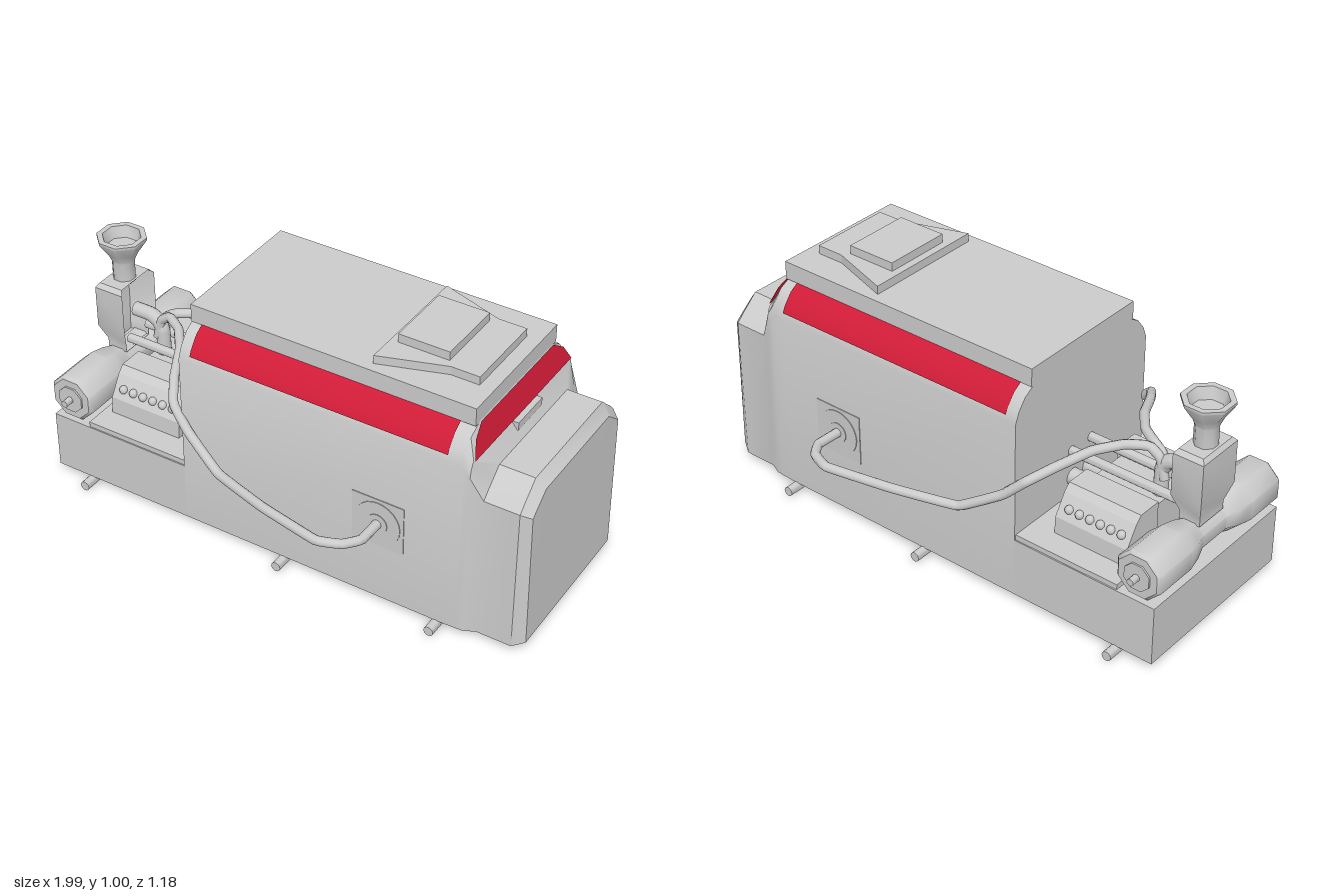
import * as THREE from 'three';
import { toCreasedNormals } from 'three/addons/utils/BufferGeometryUtils.js';

const grey = new THREE.MeshStandardMaterial({ color: 0xcccccc });
const greyDouble = new THREE.MeshStandardMaterial({ color: 0xcccccc, side: THREE.DoubleSide });
const red = new THREE.MeshStandardMaterial({ color: 0xd01c38, side: THREE.DoubleSide });

// Lofts mirrored half-sections [x, [[z, y], ...bottom to top]] along x, open underneath
function loft(sections) {
  const pos = [], idx = [];
  const n = sections[0][1].length * 2;
  for (const [x, half] of sections) {
    for (const [z, y, dx = 0] of half) pos.push(x + dx, y, z);
    for (const [z, y, dx = 0] of [...half].reverse()) pos.push(x + dx, y, -z);
  }
  for (let i = 0; i < sections.length - 1; i++) {
    for (let j = 0; j < n - 1; j++) {
      const a = i * n + j, d = a + n;
      idx.push(a, d, d + 1, a, d + 1, a + 1);
    }
  }
  const last = (sections.length - 1) * n;
  for (let j = 1; j < n - 1; j++) {
    idx.push(0, j, j + 1, last, last + j + 1, last + j);
  }
  const g = new THREE.BufferGeometry();
  g.setAttribute('position', new THREE.Float32BufferAttribute(pos, 3));
  g.setIndex(idx);
  return toCreasedNormals(g, 0.5);
}

export function createModel() {
  const root = new THREE.Group();
  const add = (name, geo, x = 0, y = 0, z = 0, mat = grey) => {
    const m = new THREE.Mesh(geo, mat);
    m.name = name;
    m.position.set(x, y, z);
    root.add(m);
    return m;
  };
  // Box given by its limits
  const box = (name, x0, x1, y0, y1, z0, z1) =>
    add(name, new THREE.BoxGeometry(x1 - x0, y1 - y0, z1 - z0), (x0 + x1) / 2, (y0 + y1) / 2, (z0 + z1) / 2);
  const rod = (name, r, len, axis, x, y, z, sides = 12) => {
    const g = new THREE.CylinderGeometry(r, r, len, sides);
    if (axis === 'z') g.rotateX(Math.PI / 2);
    if (axis === 'x') g.rotateZ(Math.PI / 2);
    return add(name, toCreasedNormals(g, 0.7), x, y, z);
  };
  const vectors = points => points.map(p => new THREE.Vector2(...p));
  const prism = (points, depth, hole) => {
    const s = new THREE.Shape(vectors(points));
    if (hole) s.holes.push(new THREE.Path(vectors(hole)));
    return new THREE.ExtrudeGeometry(s, { depth, bevelEnabled: false });
  };
  const tube = (name, pts, r, seg) => {
    const curve = new THREE.CatmullRomCurve3(pts.map(p => new THREE.Vector3(...p)), false, 'catmullrom', 0.12);
    return add(name, new THREE.TubeGeometry(curve, seg, r, 10), 0, 0, 0, greyDouble);
  };

  // Engine deck, cab and nose in one shell, open underneath
  const deck = [[0.37, 0.035], [0.37, 0.22], [0.37, 0.25], [0.37, 0.272], [0.2, 0.272]];
  const cab = [[0.37, 0.035], [0.37, 0.75], [0.352, 0.795], [0.318, 0.838], [0.27, 0.867]];
  const nose = [[0.345, 0.035], [0.345, 0.62], [0.315, 0.65], [0.28, 0.68], [0.246, 0.71]];
  add('bodyShell', loft([
    [-0.983, deck],
    [-0.39, deck],
    [-0.39, cab],
    [0.69, cab],
    [0.745, [[0.368, 0.035], [0.367, 0.745], [0.35, 0.79], [0.315, 0.835], [0.255, 0.867]]],
    [0.775, [[0.366, 0.035], [0.365, 0.71], [0.36, 0.735], [0.354, 0.755], [0.345, 0.77]]],
    [0.82, nose],
    [0.955, nose],
    [0.99, [[0.318, 0.052, 0.008], [0.318, 0.6], [0.29, 0.624], [0.26, 0.648], [0.232, 0.67]]],
  ]), 0, 0, 0, greyDouble);

  // Underside: rim and recessed floor
  const rim = prism(
    [[-0.978, -0.368], [0.775, -0.362], [0.82, -0.342], [0.95, -0.342], [0.985, -0.315],
      [0.985, 0.315], [0.95, 0.342], [0.82, 0.342], [0.775, 0.362], [-0.978, 0.368]],
    0.1, [[-0.95, -0.33], [-0.95, 0.33], [0.93, 0.33], [0.93, -0.33]]);
  rim.rotateX(-Math.PI / 2);
  add('underRim', rim, 0, 0.04, 0);
  box('floor', -0.97, 0.95, 0.135, 0.15, -0.34, 0.34);
  box('enginePlate', -0.825, -0.385, 0.27, 0.293, -0.365, 0.365);

  // Roof and stepped hatch
  box('roof', -0.39, 0.745, 0.862, 0.933, -0.285, 0.285);
  const hatch = prism([[0.33, -0.248], [0.58, -0.165], [0.69, -0.165], [0.69, 0.165], [0.58, 0.165], [0.33, 0.248]], 0.035);
  hatch.rotateX(-Math.PI / 2);
  add('hatch', hatch, 0, 0.931, 0);
  box('hatchTop', 0.36, 0.56, 0.965, 1.0, -0.137, 0.137);

  // Red front window, leaning back
  const front = new THREE.ShapeGeometry(new THREE.Shape(vectors(
    [[-0.345, 0.77], [0.345, 0.77], [0.312, 0.83], [0.255, 0.867], [-0.255, 0.867], [-0.312, 0.83]])));
  front.rotateY(Math.PI / 2);
  const fp = front.attributes.position;
  for (let i = 0; i < fp.count; i++) fp.setX(i, 0.781 - 0.32 * (fp.getY(i) - 0.77));
  front.computeVertexNormals();
  add('frontWindow', front, 0, 0, 0, red);

  // Red side windows following the shoulder curve
  for (const s of [1, -1]) {
    const pts = [[0.366, 0.774], [0.356, 0.797], [0.321, 0.842], [0.286, 0.864]];
    const g = new THREE.PlaneGeometry(1.035, 1, 1, 3);
    const p = g.attributes.position;
    for (let i = 0; i < p.count; i++) {
      const [z, y] = pts[3 - Math.floor(i / 2)];
      p.setXYZ(i, p.getX(i) * s + 0.1725, y, z * s);
    }
    g.computeVertexNormals();
    add('sideWindow', g, 0, 0, 0, red);
  }
  box('frontHandle', 0.76, 0.803, 0.738, 0.77, -0.085, 0.085);

  // Cross rods under the chassis
  for (const x of [-0.83, 0.035, 0.67]) rod('crossRod', 0.019, 0.836, 'z', x, 0.019, 0);

  // Side ports and the long pipes leading to the engine
  for (const s of [1, -1]) {
    box('portPlate', 0.328, 0.535, 0.274, 0.475, s * 0.368 - 0.005, s * 0.368 + 0.005);
    rod('portDisc', 0.09, 0.01, 'z', 0.432, 0.372, s * 0.371, 24);
    rod('portHub', 0.04, 0.01, 'z', 0.432, 0.372, s * 0.374, 16);
    tube('sidePipe', [
      [0.432, 0.372, 0.365], [0.432, 0.375, 0.48], [0.39, 0.38, 0.54], [0.305, 0.382, 0.572],
      [0.05, 0.375, 0.515], [-0.19, 0.365, 0.435], [-0.35, 0.46, 0.39], [-0.43, 0.535, 0.362],
      [-0.49, 0.575, 0.27], [-0.55, 0.603, 0.15], [-0.62, 0.612, 0.06], [-0.69, 0.612, 0.015],
      [-0.735, 0.58, 0.01], [-0.755, 0.5, 0.01],
    ].map(([x, y, z]) => [x, y, z * s]), 0.018, 90);
  }

  // Engine block with two sloping cylinder banks
  box('engineBlock', -0.77, -0.5, 0.28, 0.43, -0.12, 0.12);
  for (const s of [1, -1]) {
    const bank = prism([[0.09, 0.28], [0.27, 0.28], [0.265, 0.36], [0.215, 0.44], [0.19, 0.465], [0.09, 0.465]], 0.305);
    bank.rotateY(-Math.PI / 2);
    if (s < 0) bank.rotateY(Math.PI).translate(-0.305, 0, 0);
    add('cylinderBank', bank, -0.485, 0, 0);
    for (let i = 0; i < 6; i++) {
      add('exhaustStub', new THREE.SphereGeometry(0.017, 10, 8), -0.75 + i * 0.0445, 0.395, s * 0.243);
    }
    rod('topRail', 0.018, 0.47, 'x', -0.62, 0.483, s * 0.056);
    rod('driveTube', 0.033, 0.12, 'x', -0.44, 0.367, s * 0.045);
  }

  // Eight-sided cross drum with a narrow waist and end pins
  const half = [[0.065, 0.07], [0.084, 0.12], [0.097, 0.18], [0.097, 0.35], [0.085, 0.363], [0.055, 0.363], [0.055, 0.37], [0.014, 0.37], [0.014, 0.405], [0, 0.405]];
  const profile = [...[...half].reverse().map(([r, h]) => [r, -h]), ...half];
  const drum = new THREE.LatheGeometry(vectors(profile), 8, Math.PI / 8);
  drum.rotateX(Math.PI / 2);
  add('drum', toCreasedNormals(drum, 0.8), -0.905, 0.367, 0, greyDouble);

  // Chimney: tapered foot, box and flared cup; lofted along x, then stood upright
  const levels = [[0.42, 0.042, 0.07], [0.455, 0.042, 0.07], [0.525, 0.062, 0.1], [0.695, 0.062, 0.1], [0.712, 0.05, 0.085]];
  const stack = loft(levels.map(([y, hx, hz]) =>
    [y, [[hz, -hx], [hz, hx]]]));
  stack.rotateZ(Math.PI / 2);
  add('chimneyBox', stack, -0.905, 0, 0, greyDouble);
  const funnel = new THREE.LatheGeometry(vectors(
    [[0.044, 0.7], [0.044, 0.79], [0.06, 0.825], [0.096, 0.88], [0.096, 0.89], [0.074, 0.89], [0.06, 0.845], [0, 0.845]]),
    8, Math.PI / 8);
  add('funnel', toCreasedNormals(funnel, 0.8), -0.905, 0, 0, greyDouble);

  // Elbow from the chimney to the engine
  tube('elbow', [[-0.86, 0.582, 0], [-0.79, 0.582, 0], [-0.755, 0.565, 0], [-0.738, 0.53, 0], [-0.735, 0.42, 0]], 0.028, 24);

  return root;
}
